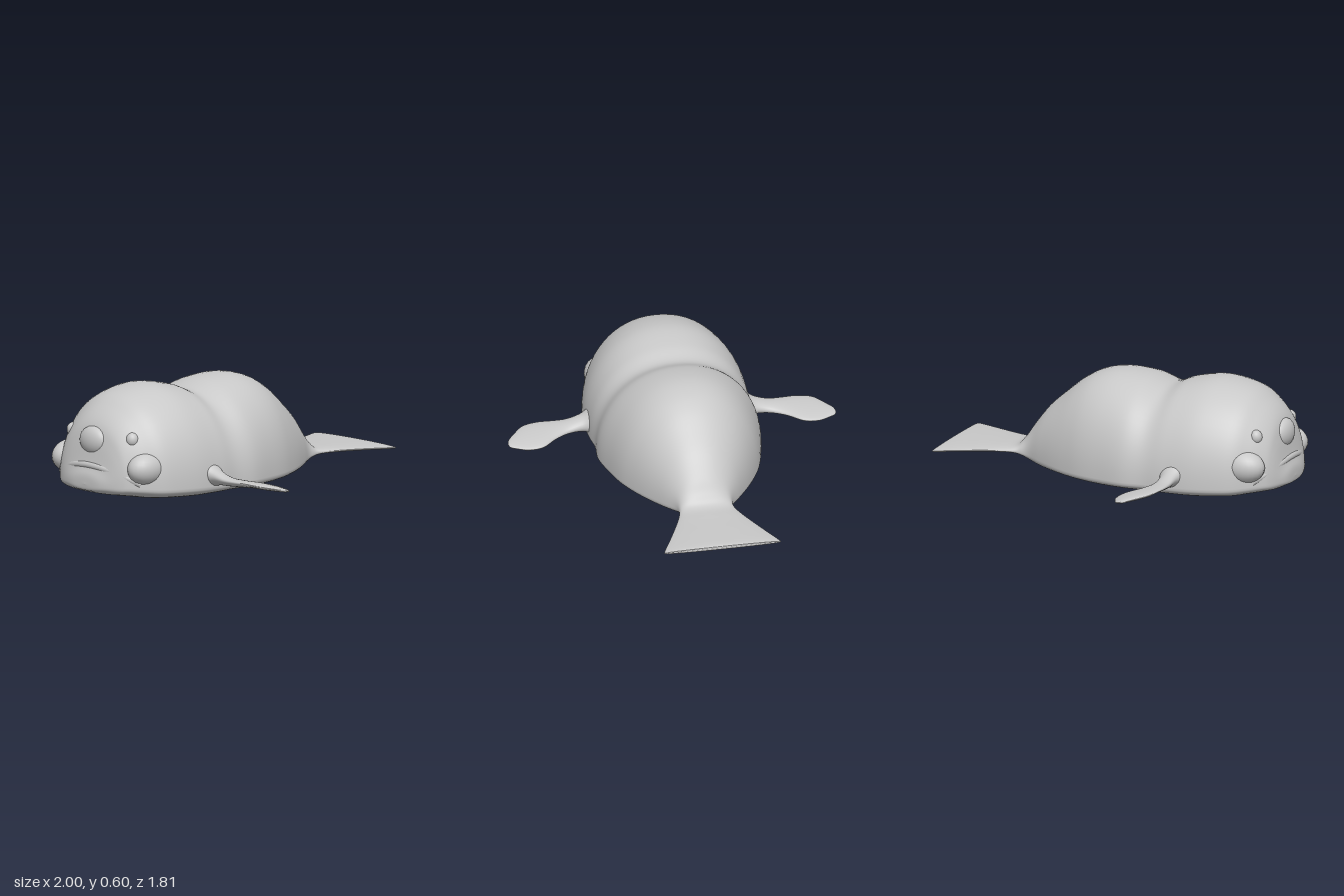
import * as THREE from 'three';

const skin = new THREE.MeshStandardMaterial({ color: 0xc8c8c8 });
skin.name = 'pale grey skin';

const spow = (v, p) => Math.sign(v) * Math.abs(v) ** p;

// Closed smooth skin over rings; ring(t, a) gives the point at length t and angle a.
function loft(ring, lengthSteps, ringSteps, flip = false) {
  const pos = [], index = [];
  for (let i = 0; i <= lengthSteps; i++)
    for (let j = 0; j < ringSteps; j++)
      pos.push(...ring(i / lengthSteps, (j / ringSteps) * Math.PI * 2));
  for (let i = 0; i < lengthSteps; i++)
    for (let j = 0; j < ringSteps; j++) {
      const k = (j + 1) % ringSteps;
      const a = i * ringSteps + j, b = a + ringSteps;
      const c = i * ringSteps + k, d = c + ringSteps;
      if (flip) index.push(a, c, b, b, c, d);
      else index.push(a, b, c, b, d, c);
    }
  const geo = new THREE.BufferGeometry();
  geo.setAttribute('position', new THREE.Float32BufferAttribute(pos, 3));
  geo.setIndex(index);
  geo.computeVertexNormals();
  return geo;
}

// Smooth interpolation through rows of section values.
function spline(rows) {
  const curve = (f) => new THREE.CatmullRomCurve3(rows.map(f), false, 'catmullrom', 0.5);
  const a = curve((r) => new THREE.Vector3(r[0], r[1], r[2]));
  const b = curve((r) => new THREE.Vector3(r[3], r[4], 0));
  return (t) => {
    const p = a.getPoint(t), q = b.getPoint(t);
    return [p.x, p.y, p.z, q.x, q.y];
  };
}

// x, half width, belly y, widest y, back y
const bodyAt = spline([
  [-1.0, 0, 0.1, 0.1, 0.1],
  [-0.995, 0.1, 0.07, 0.1, 0.15],
  [-0.975, 0.18, 0.06, 0.1, 0.21],
  [-0.95, 0.24, 0.05, 0.1, 0.34],
  [-0.92, 0.28, 0.045, 0.1, 0.43],
  [-0.85, 0.345, 0.035, 0.095, 0.51],
  [-0.75, 0.41, 0.02, 0.09, 0.575],
  [-0.57, 0.45, 0.01, 0.085, 0.61],
  [-0.4, 0.45, 0.01, 0.08, 0.585],
  [-0.28, 0.44, 0.012, 0.08, 0.545],
  [-0.15, 0.45, 0.015, 0.08, 0.585],
  [0, 0.42, 0.015, 0.08, 0.6],
  [0.12, 0.385, 0.02, 0.08, 0.58],
  [0.22, 0.34, 0.025, 0.08, 0.53],
  [0.32, 0.285, 0.028, 0.085, 0.45],
  [0.42, 0.22, 0.035, 0.09, 0.36],
  [0.5, 0.165, 0.05, 0.095, 0.26],
  [0.55, 0.15, 0.07, 0.1, 0.185],
  [0.6, 0.155, 0.085, 0.105, 0.135],
  [0.7, 0.19, 0.09, 0.107, 0.125],
  [0.85, 0.255, 0.09, 0.107, 0.122],
  [0.985, 0.318, 0.09, 0.105, 0.118],
  [1.0, 0.315, 0.104, 0.104, 0.104],
]);

// Domed back over a shallow, flat belly
function bodyRing(t, a) {
  const [x, w, low, mid, top] = bodyAt(t);
  const c = Math.cos(a), s = Math.sin(a);
  if (s >= 0) return [x, mid + (top - mid) * s ** 0.95, w * spow(c, 0.93)];
  return [x, mid + (mid - low) * spow(s, 0.7), w * spow(c, 0.75)];
}

// z, centre x, half width, centre y, half thickness
const finAt = spline([
  [0.36, -0.45, 0.1, 0.15, 0.1],
  [0.43, -0.45, 0.07, 0.14, 0.065],
  [0.48, -0.45, 0.052, 0.13, 0.04],
  [0.56, -0.445, 0.053, 0.118, 0.025],
  [0.64, -0.425, 0.075, 0.115, 0.02],
  [0.72, -0.393, 0.105, 0.112, 0.018],
  [0.8, -0.38, 0.1, 0.108, 0.016],
  [0.86, -0.362, 0.06, 0.103, 0.012],
  [0.895, -0.35, 0.03, 0.1, 0.008],
  [0.905, -0.345, 0, 0.1, 0],
]);

const finRing = (side) => (t, a) => {
  const [z, cx, w, cy, h] = finAt(t);
  const dx = w * Math.cos(a);
  return [cx + dx, cy + h * Math.sin(a) - dx * 0.18, side * z];
};

export function createModel() {
  const model = new THREE.Group();
  model.name = 'fish';
  const add = (name, geo) => {
    const mesh = new THREE.Mesh(geo, skin);
    mesh.name = name;
    model.add(mesh);
    return mesh;
  };
  const blob = (name, position, radii) => {
    const mesh = add(name, new THREE.SphereGeometry(1, 24, 16));
    mesh.position.set(...position);
    mesh.scale.set(...radii);
    return mesh;
  };

  add('bodyAndTail', loft(bodyRing, 132, 64));

  // Side fins, eyes and cheeks
  for (const side of [1, -1]) {
    const label = side > 0 ? 'front' : 'back';
    add(label + 'Fin', loft(finRing(side), 40, 24, side > 0));
    blob(label + 'Eye', [-0.865, 0.355, side * 0.235], [0.035, 0.04, 0.035]);
    blob(label + 'Cheek', [-0.82, 0.2, side * 0.3], [0.12, 0.09, 0.085]);
  }

  // Drooping nose
  blob('nose', [-0.93, 0.33, 0], [0.05, 0.08, 0.1]);

  // Wide, downturned lip
  const lipPath = new THREE.CatmullRomCurve3(
    [[-0.87, 0.12, -0.31], [-0.925, 0.16, -0.235], [-0.955, 0.19, -0.12], [-0.963, 0.2, 0],
      [-0.955, 0.19, 0.12], [-0.925, 0.16, 0.235], [-0.87, 0.12, 0.31]]
      .map((p) => new THREE.Vector3(...p)));
  add('lip', new THREE.TubeGeometry(lipPath, 48, 0.022, 12));

  return model;
}
